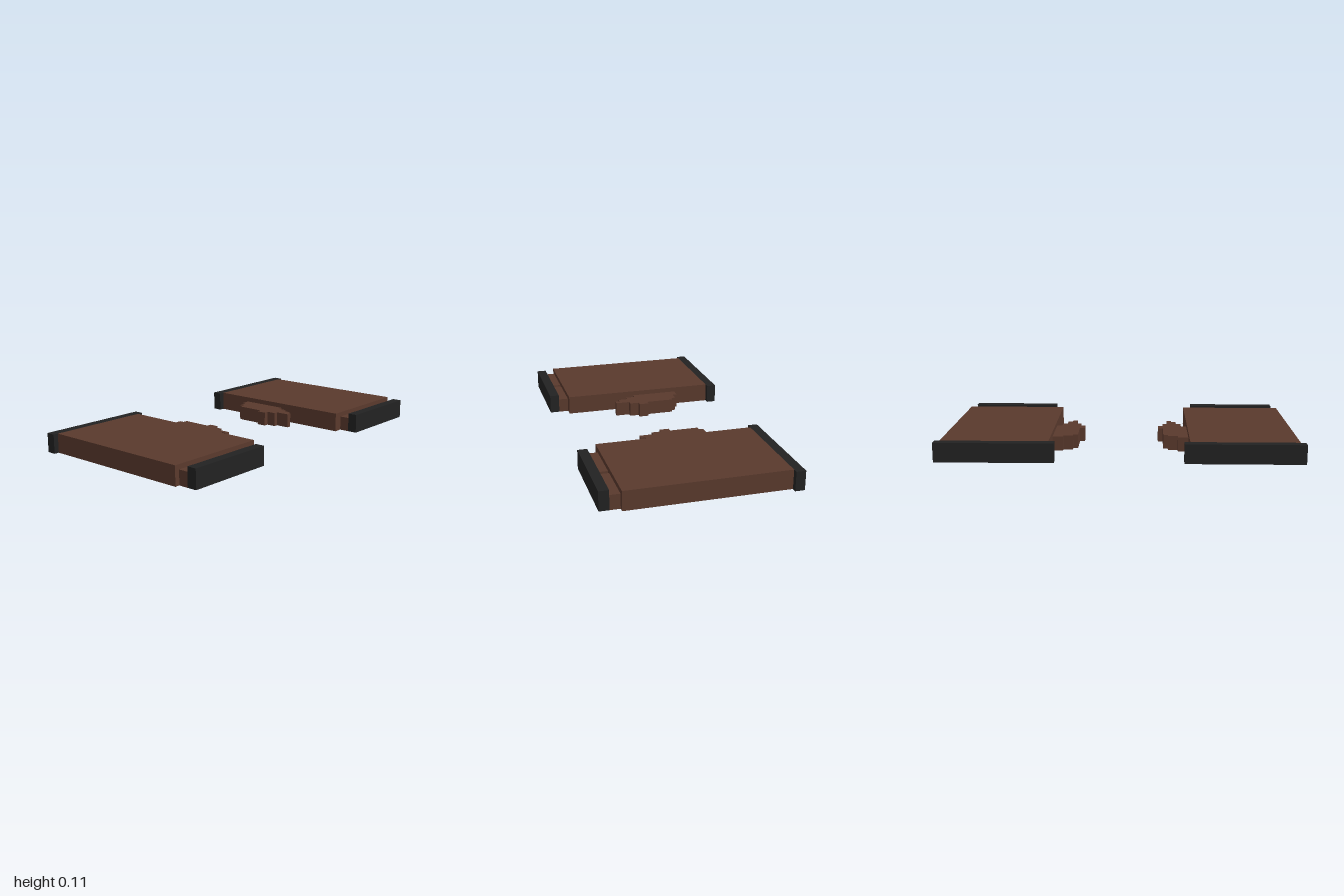
import * as THREE from 'three';

const brown = new THREE.MeshStandardMaterial({ color: 0x5a3a2d });
brown.name = 'brown';
const black = new THREE.MeshStandardMaterial({ color: 0x222222 });
black.name = 'black';

// Box given by its extents, standing on y = 0 and mirrored by side
function block(name, material, side, [x0, x1], [z0, z1], height) {
  const mesh = new THREE.Mesh(new THREE.BoxGeometry(x1 - x0, height, z1 - z0), material);
  mesh.position.set(side * (x0 + x1) / 2, height / 2, (z0 + z1) / 2);
  mesh.name = name;
  return mesh;
}

// Stepped lobe: one column per x step, as [back z, front z], from the tip outward
const lobeX = [0.215, 0.243, 0.27, 0.297, 0.324, 0.351, 0.382];
const lobeZ = [[-0.045, 0.01], [-0.208, 0.063], [-0.235, 0.143],
  [-0.235, 0.117], [-0.262, 0.063], [-0.262, 0.01]];

function steppedLobe(side) {
  const back = [], front = [];
  lobeZ.forEach(([zBack, zFront], i) => {
    for (const x of [lobeX[i], lobeX[i + 1]]) {
      back.push(new THREE.Vector2(side * x, -zBack));
      front.unshift(new THREE.Vector2(side * x, -zFront));
    }
  });
  // Drop repeated corners where neighbouring columns are level
  const outline = [...back, ...front].filter((p, i, all) => i === 0 || !p.equals(all[i - 1]));
  const geometry = new THREE.ExtrudeGeometry(new THREE.Shape(outline), { depth: 0.081, bevelEnabled: false });
  geometry.rotateX(-Math.PI / 2);
  const mesh = new THREE.Mesh(geometry, brown);
  mesh.name = 'steppedLobe';
  return mesh;
}

export function createModel() {
  const model = new THREE.Group();
  model.name = 'pairedSlabs';
  for (const side of [1, -1]) {
    const half = new THREE.Group();
    half.name = side > 0 ? 'leftSlab' : 'rightSlab';
    half.add(
      block('slab', brown, side, [0.382, 0.972], [-0.475, 0.417], 0.108),
      block('backBar', black, side, [0.35, 1], [-0.528, -0.475], 0.108),
      block('frontBar', black, side, [0.433, 0.945], [0.473, 0.527], 0.108),
      // Two lower tabs with a gap between them
      block('innerTab', brown, side, [0.433, 0.677], [0.417, 0.473], 0.081),
      block('outerTab', brown, side, [0.702, 0.945], [0.417, 0.473], 0.081),
      steppedLobe(side),
    );
    model.add(half);
  }
  return model;
}
